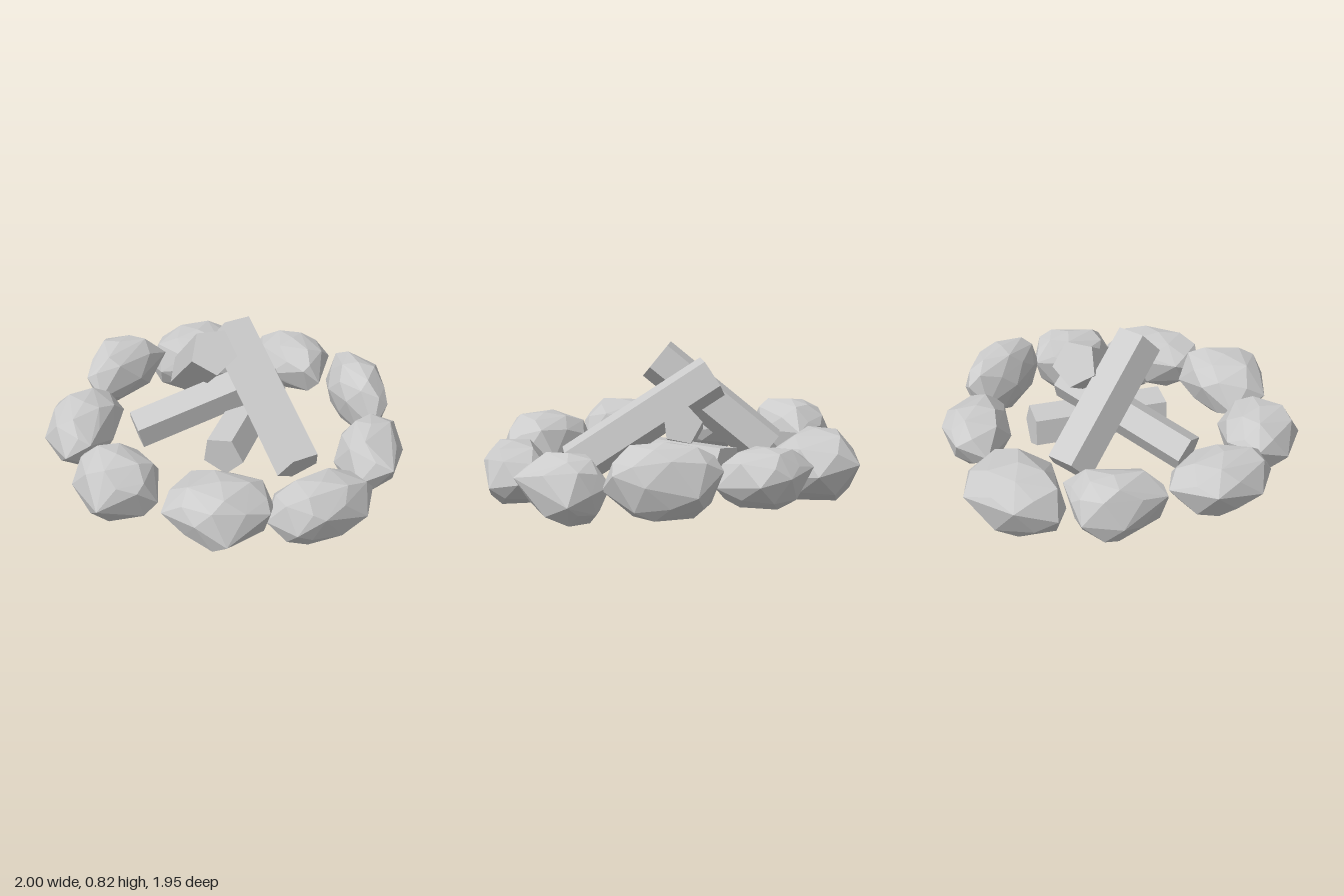
import * as THREE from 'three';
import { ConvexGeometry } from 'three/addons/geometries/ConvexGeometry.js';

const material = new THREE.MeshStandardMaterial({ color: 0xcccccc, flatShading: true });

// Faceted boulder: its widest footprint, with smaller rings stacked above and below
function makeStone(low, high, footprint) {
  const corners = footprint.map(([x, z]) => new THREE.Vector2(x, z));
  const n = corners.length;
  const centre = new THREE.Vector2();
  corners.forEach((c) => centre.addScaledVector(c, 1 / n));
  const points = [];
  const add = (c, scale, level) => {
    const p = centre.clone().lerp(c, scale);
    points.push(new THREE.Vector3(p.x, low + (high - low) * level, p.y));
  };
  corners.forEach((c, i) => {
    const middle = c.clone().lerp(corners[(i + 1) % n], 0.5);
    add(c, 1, 0.5 + 0.15 * Math.sin(i * 2.3 + n));
    add(middle, 0.9, 0.78 + 0.06 * Math.sin(i * 1.9));
    add(middle, 0.85, 0.2 + 0.06 * Math.sin(i * 2.7));
    if (i % 2 === 0) {
      add(c, 0.55, 0.95);
      add(c, 0.5, 0.03);
    }
  });
  add(centre, 1, 1);
  add(centre, 1, 0);
  return new THREE.Mesh(new ConvexGeometry(points), material);
}

// Five-sided log running between two points, rolled about its own axis
function makeLog(from, to, radius, roll) {
  const a = new THREE.Vector3(...from), b = new THREE.Vector3(...to);
  const axis = b.clone().sub(a);
  const geometry = new THREE.CylinderGeometry(radius, radius, axis.length(), 5);
  geometry.rotateY(roll);
  const log = new THREE.Mesh(geometry, material);
  log.position.copy(a).add(b).multiplyScalar(0.5);
  log.quaternion.setFromUnitVectors(new THREE.Vector3(0, 1, 0), axis.normalize());
  return log;
}

export function createModel() {
  const model = new THREE.Group();
  model.name = 'campfire';

  // Ring of stones: bottom, top, footprint as x and z
  const stones = new THREE.Group();
  stones.name = 'stoneRing';
  [
    [0.0, 0.39, [[-0.55, -0.92], [-0.28, -0.87], [-0.25, -0.6], [-0.37, -0.44], [-0.66, -0.41], [-0.78, -0.47], [-0.77, -0.69]]],
    [0.09, 0.4, [[0.05, -0.98], [0.22, -0.93], [0.27, -0.67], [0.19, -0.62], [-0.03, -0.61], [-0.24, -0.76], [-0.18, -0.92]]],
    [0.08, 0.47, [[0.34, -0.8], [0.52, -0.81], [0.7, -0.63], [0.77, -0.47], [0.74, -0.35], [0.55, -0.4], [0.39, -0.52], [0.3, -0.7]]],
    [0.02, 0.38, [[0.7, -0.37], [0.81, -0.36], [0.93, -0.32], [1.0, 0.03], [0.84, 0.12], [0.65, 0.0], [0.62, -0.18]]],
    [0.01, 0.34, [[0.7, 0.13], [0.92, 0.11], [0.97, 0.3], [0.84, 0.54], [0.73, 0.64], [0.54, 0.61], [0.51, 0.45]]],
    [0.05, 0.39, [[0.17, 0.52], [0.43, 0.45], [0.55, 0.54], [0.59, 0.66], [0.47, 0.9], [0.3, 0.92], [0.08, 0.87], [0.0, 0.66]]],
    [0.03, 0.39, [[-0.36, 0.52], [-0.13, 0.53], [-0.02, 0.73], [-0.08, 0.83], [-0.24, 0.97], [-0.48, 0.83], [-0.52, 0.65]]],
    [0.08, 0.41, [[-0.76, 0.1], [-0.57, 0.16], [-0.5, 0.39], [-0.5, 0.61], [-0.61, 0.69], [-0.82, 0.58], [-0.9, 0.32]]],
    [0.1, 0.45, [[-0.63, -0.42], [-0.63, -0.13], [-0.76, 0.1], [-0.87, 0.07], [-1.0, -0.18], [-0.94, -0.38], [-0.82, -0.41]]],
  ].forEach(([low, high, footprint], i) => {
    const stone = makeStone(low, high, footprint);
    stone.name = `stone${i + 1}`;
    stones.add(stone);
  });
  model.add(stones);

  // Two tall logs crossing over two low ones
  const logs = new THREE.Group();
  logs.name = 'logs';
  [
    ['tallLogLeft', [0.52, 0.21, 0.16], [-0.1, 0.68, -0.26], 0.128, 0.35],
    ['tallLogRight', [-0.43, 0.25, -0.36], [-0.025, 0.74, 0.1], 0.13, 0.71],
    ['lowLogRight', [-0.41, 0.24, 0.29], [0.14, 0.45, -0.28], 0.11, 0.3],
    ['lowLogFront', [0.11, 0.21, 0.26], [0.01, 0.24, -0.49], 0.12, 0.6],
  ].forEach(([name, from, to, radius, roll]) => {
    const log = makeLog(from, to, radius, roll);
    log.name = name;
    logs.add(log);
  });
  model.add(logs);

  return model;
}
